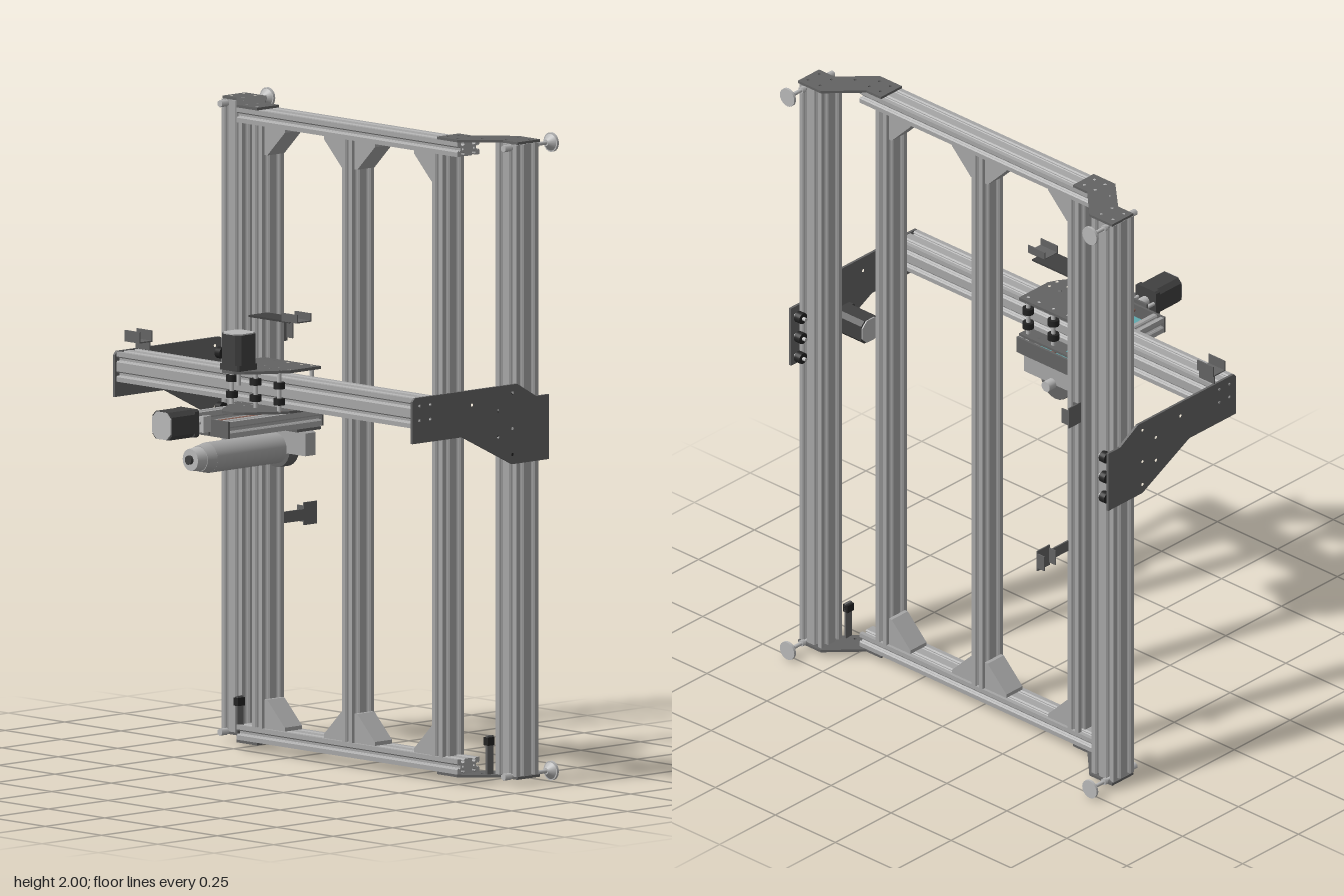
import * as THREE from 'three';

const mat = (name, color, extra = {}) => {
  const m = new THREE.MeshStandardMaterial({ color, ...extra });
  m.name = name;
  return m;
};

export function createModel() {
  const root = new THREE.Group();
  root.name = 'verticalRouter';
  const alu = mat('aluminium', 0xa6a6a6);
  const plateGrey = mat('plateGrey', 0x636363);
  const dark = mat('motorBlack', 0x404040);
  const pale = mat('paleMetal', 0xb8b8b8);
  const black = mat('wheelBlack', 0x222222);
  const teal = mat('tealPlate', 0x5fa9ad);
  const brown = mat('leadScrewBrown', 0x8a6458);

  const add = (name, geo, m, parent = root) => {
    const mesh = new THREE.Mesh(geo, m);
    mesh.name = name;
    parent.add(mesh);
    return mesh;
  };
  const box = (name, m, x0, x1, y0, y1, z0, z1, parent = root) => {
    const b = add(name, new THREE.BoxGeometry(x1 - x0, y1 - y0, z1 - z0), m, parent);
    b.position.set((x0 + x1) / 2, (y0 + y1) / 2, (z0 + z1) / 2);
    return b;
  };
  const rod = (name, m, r, len, axis, x, y, z, parent = root, r2 = r, sides = 20) => {
    const g = new THREE.CylinderGeometry(r2, r, len, sides);
    if (axis === 'x') g.rotateZ(-Math.PI / 2);
    if (axis === 'z') g.rotateX(Math.PI / 2);
    const c = add(name, g, m, parent);
    c.position.set(x, y, z);
    return c;
  };
  const extrude = (pts, depth, holes = [], r = 0.005) => {
    const s = new THREE.Shape(pts.map(p => new THREE.Vector2(...p)));
    for (const [hx, hy] of holes) s.holes.push(new THREE.Path().absarc(hx, hy, r, 0, Math.PI * 2, true));
    return new THREE.ExtrudeGeometry(s, { depth, bevelEnabled: false, curveSegments: 6 });
  };
  // horizontal plate from [x, z] points
  const flatPlate = (name, m, pts, y, t, holes = []) => {
    const g = extrude(pts.map(([x, z]) => [x, -z]), t, holes.map(([x, z]) => [x, -z]));
    g.rotateX(-Math.PI / 2);
    add(name, g, m).position.y = y;
  };
  // upright plate across x from [z, y] points
  const sidePlate = (name, m, pts, x, t, holes = []) => {
    const g = extrude(pts.map(([z, y]) => [-z, y]), t, holes.map(([z, y]) => [-z, y]));
    g.rotateY(Math.PI / 2);
    add(name, g, m).position.x = x;
  };

  // T-slot bar: one slot per cell on each face, centred, running along z
  const slotBar = (nx, ny, len, cell = 0.046) => {
    const pts = [];
    const W = nx * cell, H = ny * cell;
    const corners = [[-W / 2, -H / 2], [W / 2, -H / 2], [W / 2, H / 2], [-W / 2, H / 2]];
    const dirs = [[1, 0], [0, 1], [-1, 0], [0, -1]];
    const slot = [[-0.009, 0], [-0.005, 0.004], [-0.005, 0.006], [-0.008, 0.006], [-0.008, 0.009],
      [-0.004, 0.013], [0.004, 0.013], [0.008, 0.009], [0.008, 0.006], [0.005, 0.006], [0.005, 0.004], [0.009, 0]];
    corners.forEach(([cx, cy], i) => {
      const [dx, dy] = dirs[i];
      pts.push([cx, cy]);
      for (let k = 0; k < (i % 2 ? ny : nx); k++) {
        for (const [u, d] of slot) {
          const a = (k + 0.5) * cell + u;
          pts.push([cx + dx * a - dy * d, cy + dy * a + dx * d]);
        }
      }
    });
    const centres = [];
    for (let i = 0; i < nx; i++) for (let j = 0; j < ny; j++)
      centres.push([(i + 0.5) * cell - W / 2, (j + 0.5) * cell - H / 2]);
    return extrude(pts, len, centres, 0.004).translate(0, 0, -len / 2);
  };

  // frame
  for (const s of [-1, 1])
    add('sideColumn', slotBar(2, 2, 1.95).rotateX(Math.PI / 2), alu).position.set(s * 0.609, 1.005, -0.392);
  for (const x of [-0.4, 0, 0.4])
    add('innerUpright', slotBar(1, 2, 1.86).rotateX(Math.PI / 2), alu).position.set(x, 1.005, -0.3);
  for (const y of [0.052, 1.958])
    add('crossBeam', slotBar(2, 1, 0.98).rotateY(Math.PI / 2), alu).position.set(0, y, -0.3);

  // corner gussets
  for (const top of [0, 1]) for (const [x, d] of [[-0.377, 1], [-0.023, -1], [0.023, 1], [0.377, -1]]) {
    const y = top ? 1.935 : 0.075, v = top ? -1 : 1;
    const tri = [[x, y], [x + d * 0.09, y], [x + d * 0.09, y + v * 0.012], [x + d * 0.012, y + v * 0.09], [x, y + v * 0.09]];
    add('gusset', extrude(tri, 0.072), alu).position.z = -0.336;
  }

  // joining plates and levelling feet at the four corners
  for (const s of [-1, 1]) for (const top of [0, 1]) {
    const outline = [[0.655, -0.445], [0.56, -0.445], [0.46, -0.346], [0.4, -0.346], [0.4, -0.253], [0.49, -0.253], [0.592, -0.35], [0.655, -0.35]];
    const holes = [[0.635, -0.42], [0.635, -0.37], [0.585, -0.42], [0.585, -0.37], [0.53, -0.322], [0.47, -0.322], [0.47, -0.277], [0.425, -0.322], [0.425, -0.277]];
    flatPlate('cornerPlate', plateGrey, outline.map(([x, z]) => [s * x, z]), top ? 1.981 : 0.021, 0.008, holes.map(([x, z]) => [s * x, z]));
    const y = top ? 1.97 : 0.03;
    rod('footStem', pale, 0.006, 0.19, 'z', s * 0.63, y, -0.41);
    rod('footNut', pale, 0.011, 0.012, 'z', s * 0.63, y, -0.452, root, 0.011, 6);
    rod('footNut', pale, 0.011, 0.03, 'z', s * 0.63, y, -0.33, root, 0.011, 6);
    rod('footPad', pale, 0.03, 0.008, 'z', s * 0.63, y, -0.516);
    rod('footCone', pale, 0.026, 0.018, 'z', s * 0.63, y, -0.503, root, 0.01);
  }

  // stepper motor: body runs from 0 to len along z, shaft towards -z
  const motor = (name, len, w = 0.086) => {
    const g = new THREE.Group();
    g.name = name;
    const oct = (r, c) => [[-r, -r + c], [-r + c, -r], [r - c, -r], [r, -r + c], [r, r - c], [r - c, r], [-r + c, r], [-r, r - c]];
    const r = w / 2;
    add('motorBody', extrude(oct(r, 0.014), len - 0.04), dark, g).position.z = 0.018;
    add('motorFlange', extrude(oct(r, 0.006), 0.018), dark, g);
    add('motorRearCap', extrude(oct(r, 0.014), 0.018), dark, g).position.z = len - 0.022;
    add('motorEndFace', extrude(oct(r - 0.001, 0.02), 0.004), pale, g).position.z = len - 0.004;
    rod('motorShaft', pale, 0.007, 0.05, 'z', 0, 0, -0.025, g);
    root.add(g);
    return g;
  };

  // gantry beam, end plates, wheels and lift motors
  add('gantryBeam', slotBar(2, 2, 1.324).rotateY(Math.PI / 2), alu).position.set(0, 1.198, 0.047);
  const endOutline = [[0.1, 1.105], [0.1, 1.235], [0.09, 1.246], [-0.34, 1.246], [-0.42, 1.2], [-0.473, 1.2], [-0.473, 1], [-0.32, 1], [-0.11, 1.105]];
  for (const s of [-1, 1]) {
    sidePlate('gantryEndPlate', plateGrey, endOutline, s > 0 ? 0.657 : -0.665, 0.008,
      [[0.07, 1.22], [0.025, 1.22], [0.07, 1.175], [0.025, 1.175], [-0.32, 1.22], [-0.32, 1.11], [-0.32, 1.03], [-0.26, 1.17], [-0.26, 1.09], [-0.15, 1.2]]);
    for (const y of [1.03, 1.1, 1.17]) {
      rod('guideWheel', black, 0.018, 0.022, 'x', s * 0.635, y, -0.454);
      rod('wheelBolt', pale, 0.006, 0.05, 'x', s * 0.637, y, -0.454);
    }
    for (const y of [1.03, 1.2]) rod('guideWheel', black, 0.018, 0.022, 'x', s * 0.635, y, -0.326);
    const m = motor('liftMotor', 0.12, 0.078);
    m.position.set(s * 0.608, 1.118, -0.297);
    m.rotation.y = -s * Math.PI / 2;
    // limit switch tabs near the foot of each column
    box('limitSwitchTab', plateGrey, s * 0.555 - 0.004, s * 0.555 + 0.004, 0.03, 0.15, -0.34, -0.315);
    box('limitSwitch', black, s * 0.555 - 0.01, s * 0.555 + 0.01, 0.12, 0.145, -0.34, -0.312);
  }

  // carriage plates above and below the gantry beam
  const cx = -0.015;
  const carriage = [[-0.125, -0.04], [0.125, -0.04], [0.125, 0.09], [0.11, 0.12], [0.05, 0.21], [0.025, 0.232], [-0.025, 0.232], [-0.05, 0.21], [-0.11, 0.12], [-0.125, 0.09]].map(([x, z]) => [x + cx, z]);
  const bolts = [];
  for (const x of [-0.105, -0.06, 0, 0.06, 0.105]) for (const z of [-0.02, 0.075, 0.11]) bolts.push([x + cx, z]);
  flatPlate('carriageTopPlate', plateGrey, carriage, 1.262, 0.009, bolts);
  flatPlate('carriageLowerPlate', plateGrey, carriage, 1.137, 0.008, bolts);
  for (const x of [-0.105, 0, 0.105]) for (const z of [-0.02, 0.116]) {
    for (const y of [1.175, 1.225]) rod('carriageWheel', black, 0.018, 0.02, 'y', cx + x, y, z);
    rod('carriageSpacer', pale, 0.007, 0.122, 'y', cx + x, 1.203, z);
  }
  const driveMotor = motor('crossMotor', 0.115);
  driveMotor.position.set(cx, 1.271, 0.187);
  driveMotor.rotation.x = -Math.PI / 2;

  // plunge slide: two slotted rails, teal bed, lead screw and motor
  for (const s of [-1, 1]) {
    add('slideRail', slotBar(1, 1, 0.39).scale(0.95, 1.1, 1), alu).position.set(cx + s * 0.103, 1.112, 0.15);
    rod('standoff', pale, 0.006, 0.055, 'z', cx + s * 0.033, 1.13, 0.37);
  }
  box('slideBed', teal, cx - 0.082, cx + 0.082, 1.088, 1.096, -0.048, 0.342);
  for (const z of [-0.048, 0.345]) box('slideEndPlate', plateGrey, cx - 0.125, cx + 0.125, 1.086, 1.138, z - 0.004, z + 0.004);
  rod('leadScrew', brown, 0.006, 0.4, 'z', cx, 1.118, 0.16);
  rod('screwCoupler', pale, 0.016, 0.045, 'z', cx, 1.128, 0.372);
  box('couplerBracket', plateGrey, cx - 0.045, cx + 0.045, 1.09, 1.15, 0.349, 0.356);
  box('couplerSwitch', pale, cx + 0.032, cx + 0.05, 1.1, 1.15, 0.35, 0.382);
  motor('plungeMotor', 0.118).position.set(cx, 1.13, 0.394);

  // spindle pointing at the work, with its clamp
  flatPlate('clampCarrier', plateGrey, [[-0.14, -0.04], [0.11, -0.04], [0.11, 0.06], [-0.14, 0.06]], 1.076, 0.009);
  add('spindleClamp', extrude([[-0.13, 0], [0.13, 0], [0.13, 0.07], [0.105, 0.085], [-0.105, 0.085], [-0.13, 0.07]], 0.042), alu).position.set(cx, 1, -0.012);
  rod('clampRing', plateGrey, 0.06, 0.04, 'z', cx, 1.012, 0.009);
  rod('spindleBody', alu, 0.047, 0.3, 'z', cx, 1.012, 0.17, root, 0.047, 32);
  rod('spindleTail', alu, 0.047, 0.035, 'z', cx, 1.012, 0.337, root, 0.04, 32);
  rod('spindleTailCap', pale, 0.038, 0.036, 'z', cx, 1.012, 0.372, root, 0.034);
  rod('cableGland', dark, 0.014, 0.012, 'z', cx, 1.012, 0.394);
  rod('spindleCollet', pale, 0.017, 0.03, 'z', cx, 1.012, -0.04);

  // U-shaped cable chain brackets
  const uBracket = (name, x0, x1, y, z0, z1, h) => {
    box(name + 'Base', plateGrey, x0, x1, y, y + 0.004, z0, z1);
    for (const z of [z0, z1 - 0.004]) box(name + 'Wall', plateGrey, x0, x1, y, y + h, z, z + 0.004);
  };
  box('chainTray', dark, -0.11, 0.07, 1.408, 1.414, -0.024, 0.055);
  uBracket('chainEnd', 0.04, 0.11, 1.412, 0, 0.06, 0.026);
  uBracket('beamChainEnd', -0.662, -0.595, 1.272, 0, 0.055, 0.035);
  box('beamChainFoot', plateGrey, -0.662, -0.6, 1.246, 1.274, 0.004, 0.008);
  for (const [x, y, open] of [[-0.497, 1.235, 1], [-0.393, 0.685, -1]]) {
    const back = open > 0 ? x - 0.015 : x + 0.011;
    box('rearChainBack', plateGrey, back, back + 0.004, y, y + 0.07, -0.485, -0.43);
    for (const z of [-0.485, -0.434]) box('rearChainWall', plateGrey, x - 0.015, x + 0.015, y + 0.01, y + 0.06, z, z + 0.004);
  }
  box('rearChainArm', plateGrey, -0.382, -0.377, 0.7, 0.735, -0.435, -0.345);

  return root;
}
